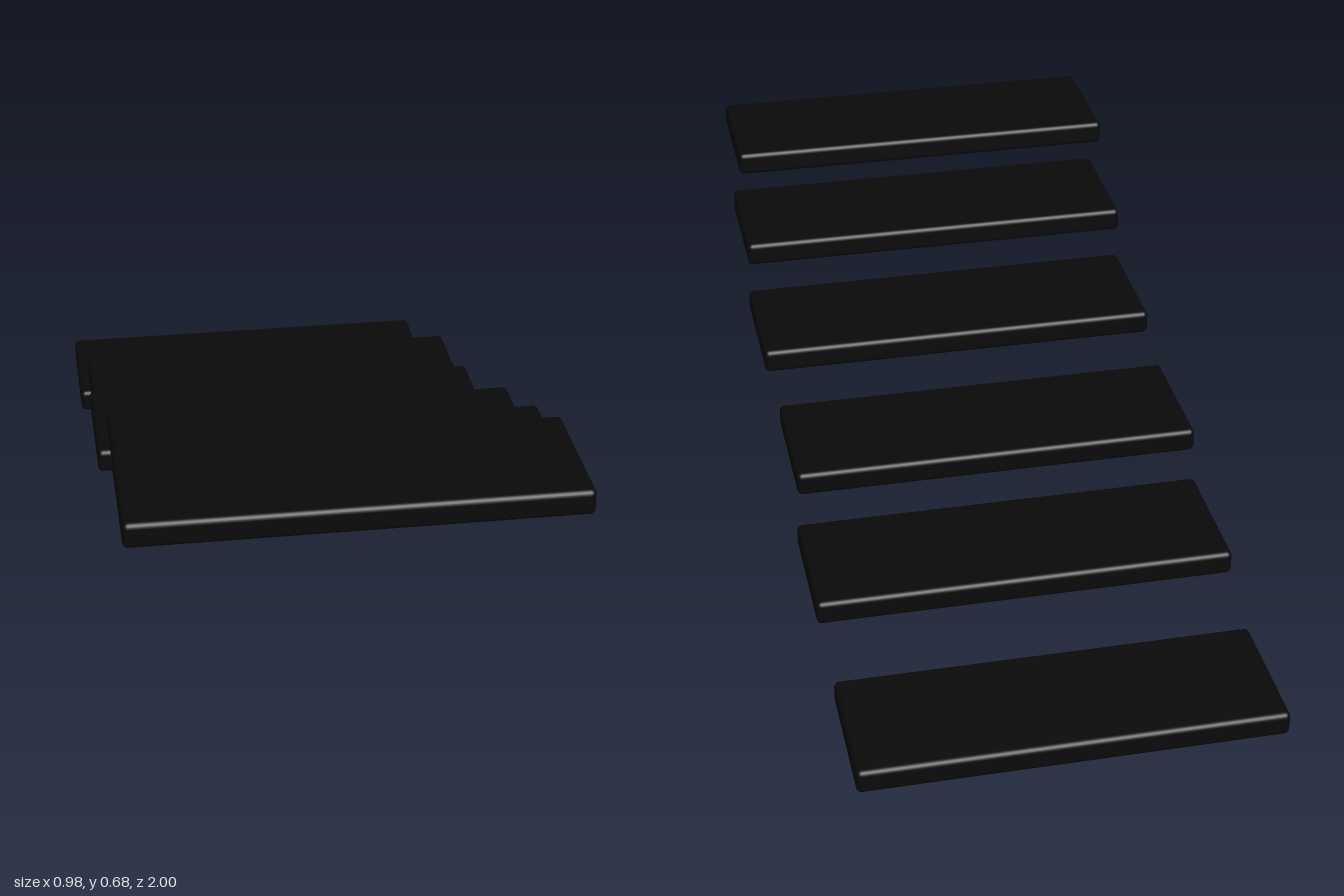
import * as THREE from 'three';
import { RoundedBoxGeometry } from 'three/addons/geometries/RoundedBoxGeometry.js';

export function createModel() {
  const model = new THREE.Group();
  model.name = 'floatingSteps';
  const material = new THREE.MeshStandardMaterial({ color: 0x0a0a0a });

  // One softly rounded slab shared by every step
  const width = 0.951, height = 0.057, depth = 0.316;
  const slab = new RoundedBoxGeometry(width, height, depth, 3, 0.012);

  // Centres of the steps, from the lowest at the back to the highest at the front
  const centres = [
    [-0.017, 0.0285, -0.842],
    [0.003, 0.179, -0.447],
    [-0.009, 0.279, -0.086],
    [0.015, 0.406, 0.264],
    [0.011, 0.53, 0.578],
    [-0.005, 0.65, 0.842],
  ];
  centres.forEach(([x, y, z], i) => {
    const step = new THREE.Mesh(slab, material);
    step.name = `step${i + 1}`;
    step.position.set(x, y, z);
    model.add(step);
  });
  return model;
}
